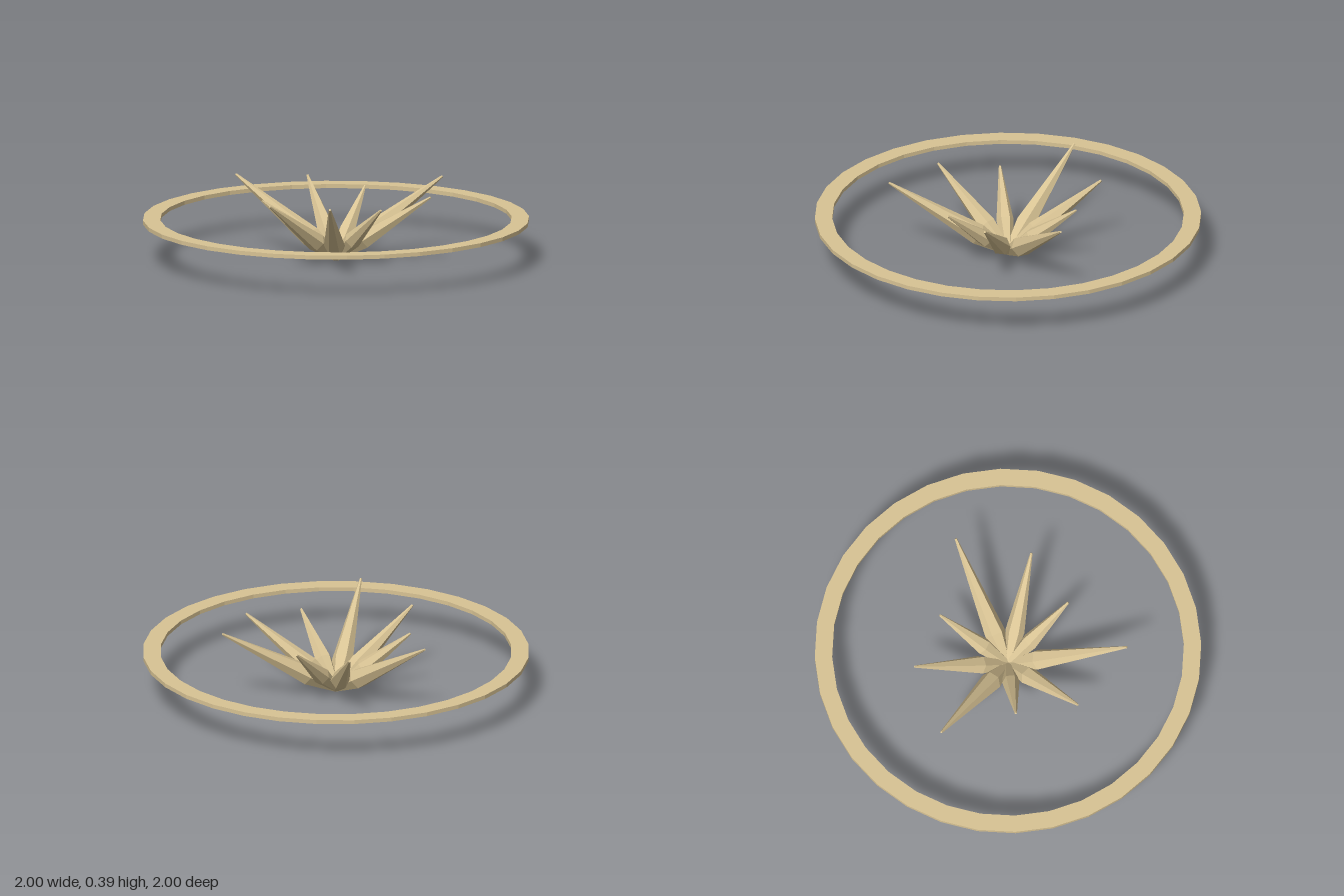
import * as THREE from 'three';

const brass = new THREE.MeshStandardMaterial({ color: 0xd8c394 });
brass.name = 'paleBrass';
brass.flatShading = true;

const BASE_Y = 0.017;
const lathe = (points, sides) =>
  new THREE.LatheGeometry(points.map(([r, y]) => new THREE.Vector2(r, y)), sides);

// Six-sided spike: narrow root, swollen shoulder, long taper to a blunt tip
function spike(name, degrees, reach, tipY, radius) {
  const rise = tipY - BASE_Y;
  const length = Math.hypot(reach, rise);
  const mesh = new THREE.Mesh(
    lathe([[0, 0], [0.02, 0], [radius, 0.18], [0.006, length], [0, length]], 6), brass);
  mesh.name = name;
  mesh.rotation.z = -Math.atan2(reach, rise);
  const pivot = new THREE.Group();
  pivot.name = name + 'Pivot';
  pivot.position.y = BASE_Y;
  pivot.rotation.y = -THREE.MathUtils.degToRad(degrees);
  pivot.add(mesh);
  return pivot;
}

export function createModel() {
  const model = new THREE.Group();
  model.name = 'spikedBurstWithRing';

  // Flat hoop around the burst
  const ring = new THREE.Mesh(
    lathe([[0.91, 0.203], [1, 0.203], [1, 0.224], [0.91, 0.224], [0.91, 0.203]], 32), brass);
  ring.name = 'outerRing';
  model.add(ring);

  // Three turns of short, long and medium spikes
  const burst = new THREE.Group();
  burst.name = 'spikeBurst';
  for (let i = 0; i < 3; i++) {
    const turn = i * 120;
    burst.add(
      spike('shortSpike', turn, 0.385, 0.325, 0.045),
      spike('longSpike', turn + 40, 0.617, 0.39, 0.055),
      spike('mediumSpike', turn + 80, 0.502, 0.357, 0.05));
  }
  model.add(burst);
  return model;
}
